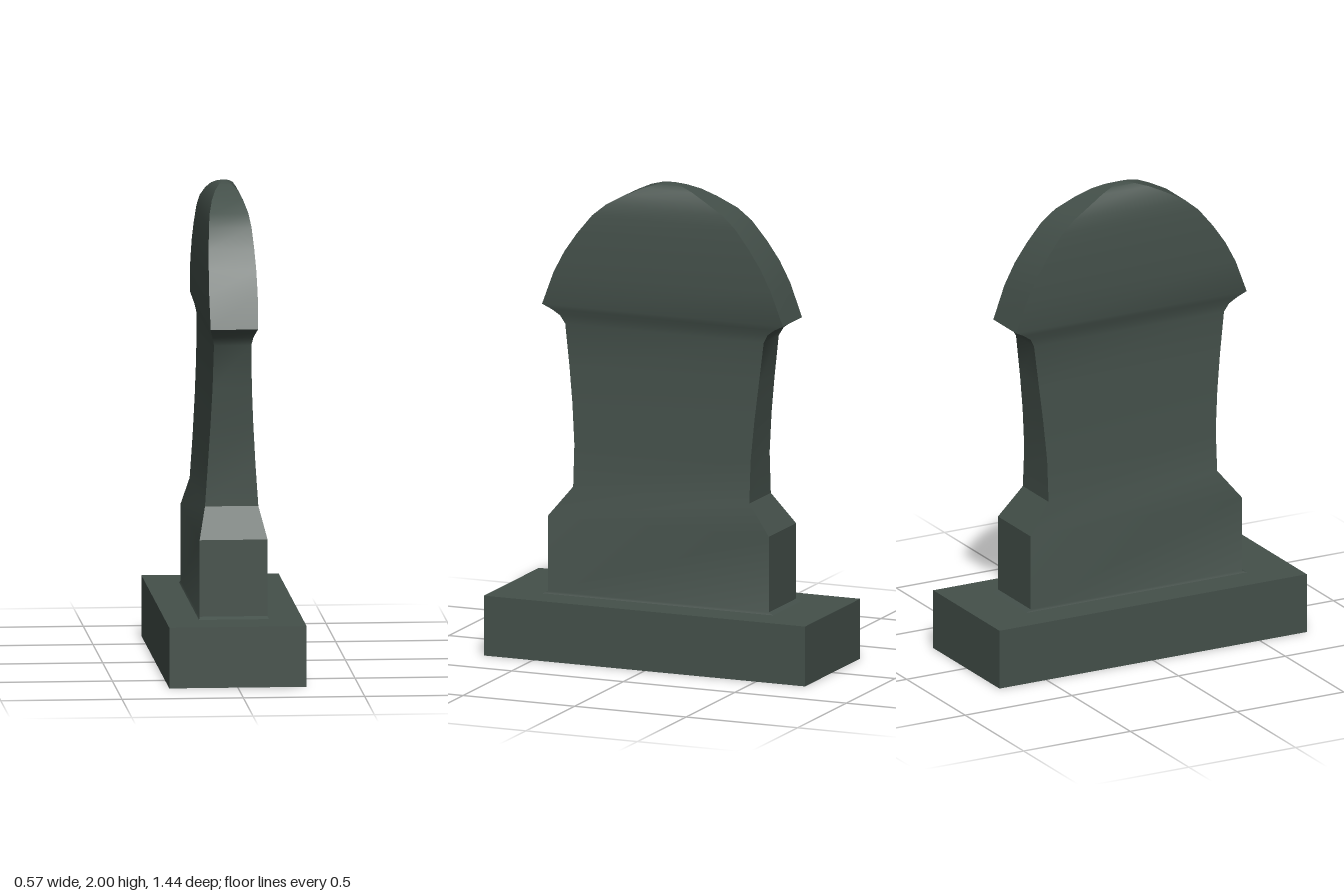
import * as THREE from 'three';
import { toCreasedNormals } from 'three/addons/utils/BufferGeometryUtils.js';

// Rectangular cross-sections of the slab: [height, half width x, half depth z]
const SECTIONS = [
  [0.25, 0.145, 0.52], [0.262, 0.14, 0.495], [0.58, 0.14, 0.495],
  [0.705, 0.11, 0.395], [0.88, 0.098, 0.395], [1.05, 0.088, 0.408],
  [1.2, 0.081, 0.424], [1.38, 0.077, 0.445], [1.415, 0.084, 0.465],
  [1.44, 0.092, 0.5], [1.46, 0.098, 0.54], [1.6, 0.1, 0.487],
  [1.69, 0.098, 0.44], [1.77, 0.094, 0.385], [1.85, 0.088, 0.32],
  [1.9, 0.08, 0.26], [1.945, 0.064, 0.175], [1.975, 0.045, 0.11],
  [1.992, 0.025, 0.055], [2.0, 0.008, 0.015],
];

// Lofts the sections into a closed solid with creased edges
function loftRectangles(sections) {
  const positions = [];
  const index = [];
  for (const [y, hx, hz] of sections) {
    positions.push(hx, y, hz, hx, y, -hz, -hx, y, -hz, -hx, y, hz);
  }
  const quad = (a, b, c, d) => index.push(a, b, c, a, c, d);
  for (let i = 0; i < sections.length - 1; i++) {
    for (let k = 0; k < 4; k++) {
      const a = i * 4 + k;
      const b = i * 4 + (k + 1) % 4;
      quad(a, b, b + 4, a + 4);
    }
  }
  const top = (sections.length - 1) * 4;
  quad(top, top + 1, top + 2, top + 3);
  quad(3, 2, 1, 0);
  const geometry = new THREE.BufferGeometry();
  geometry.setAttribute('position', new THREE.Float32BufferAttribute(positions, 3));
  geometry.setIndex(index);
  return toCreasedNormals(geometry, 0.52);
}

export function createModel() {
  const model = new THREE.Group();
  model.name = 'headstone';
  const stone = new THREE.MeshStandardMaterial({ color: 0x44504a });
  stone.name = 'dark stone';

  // Plinth
  const plinth = new THREE.Mesh(new THREE.BoxGeometry(0.566, 0.252, 1.44), stone);
  plinth.name = 'plinth';
  plinth.position.y = 0.126;
  model.add(plinth);

  // Waisted slab with a flared, domed head
  const slab = new THREE.Mesh(loftRectangles(SECTIONS), stone);
  slab.name = 'slab';
  model.add(slab);

  return model;
}
